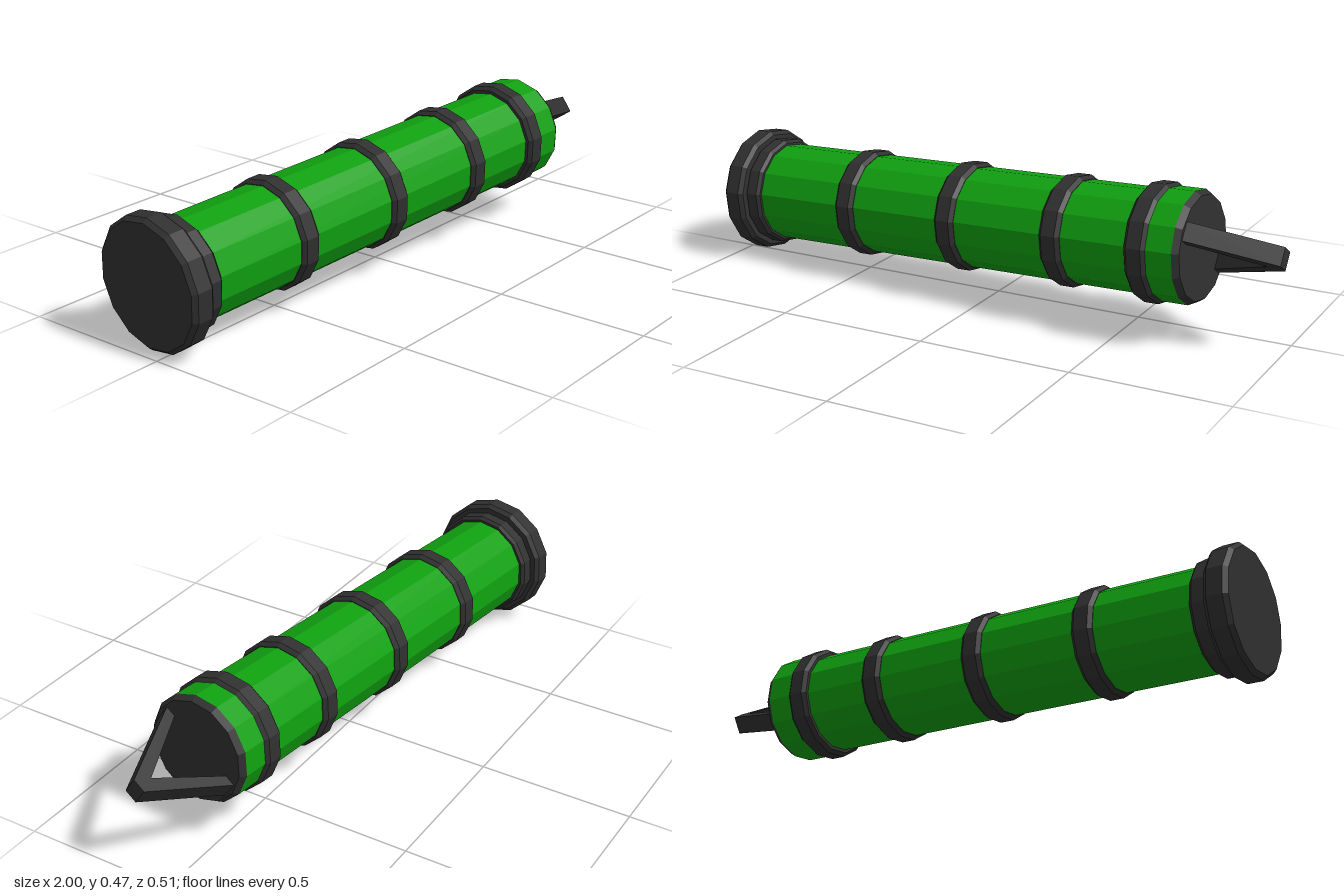
import * as THREE from 'three';

const SIDES = 14;

export function createModel() {
  const green = new THREE.MeshStandardMaterial({ color: 0x10a010 });
  green.name = 'green';
  const charcoal = new THREE.MeshStandardMaterial({ color: 0x303030 });
  charcoal.name = 'charcoal';

  // The tube is built upright along y, then laid down with a slight tilt
  const model = new THREE.Group();
  model.name = 'bandedTube';
  const tube = new THREE.Group();
  tube.name = 'tube';
  model.add(tube);

  // Faceted turned part from [radius, position along the axis] points
  function turned(name, material, profile) {
    const points = profile.map(([r, s]) => new THREE.Vector2(r, s));
    const geometry = new THREE.LatheGeometry(points, SIDES).toNonIndexed();
    geometry.computeVertexNormals();
    const mesh = new THREE.Mesh(geometry, material);
    mesh.name = name;
    tube.add(mesh);
  }

  // Bevelled band around the body
  function band(name, from, to, radius, bevel = 0.012) {
    turned(name, charcoal, [
      [0.15, from], [radius - bevel, from], [radius, from + bevel],
      [radius, to - bevel], [radius - bevel, to], [0.15, to],
    ]);
  }

  // Base flange and collar
  turned('baseFlange', charcoal, [
    [0, -0.984], [0.197, -0.984], [0.21, -0.97],
    [0.21, -0.918], [0.198, -0.905], [0.16, -0.905],
  ]);
  band('baseCollar', -0.91, -0.85, 0.183, 0.01);

  // Main body
  turned('body', green, [[0.165, -0.86], [0.165, 0.64]]);

  // Evenly spaced bands and the larger band at the end cap
  [-0.49, -0.09, 0.3].forEach((s, i) => band(`band${i + 1}`, s - 0.036, s + 0.036, 0.179));
  band('endBand', 0.562, 0.634, 0.188);

  // End cap with dark bevelled face
  turned('endCap', green, [[0.177, 0.625], [0.177, 0.718]]);
  turned('endFace', charcoal, [[0.177, 0.718], [0.164, 0.738], [0, 0.738]]);

  // Flat V-shaped loop on the end
  const outline = [
    [-0.155, 0.73], [-0.12, 0.73], [0, 0.95], [0.12, 0.73],
    [0.155, 0.73], [0.022, 1.0], [-0.022, 1.0],
  ].map(([x, y]) => new THREE.Vector2(x, y));
  const loopGeometry = new THREE.ExtrudeGeometry(new THREE.Shape(outline), { depth: 0.06, bevelEnabled: false });
  loopGeometry.translate(0, 0, -0.03).rotateY(-Math.PI / 2);
  const loop = new THREE.Mesh(loopGeometry, charcoal);
  loop.name = 'endLoop';
  tube.add(loop);

  // Lay the tube along x, rising slightly and turning towards the front
  const axis = new THREE.Vector3(1, 0.048, 0.073).normalize();
  const roll = THREE.MathUtils.degToRad(34.6);
  const across = new THREE.Vector3(0, -Math.sin(roll), -Math.cos(roll));
  across.addScaledVector(axis, -across.dot(axis)).normalize();
  const side = new THREE.Vector3().crossVectors(axis, across);
  tube.quaternion.setFromRotationMatrix(new THREE.Matrix4().makeBasis(side, axis, across));
  tube.position.set(0, 0.257, 0.022);

  return model;
}
